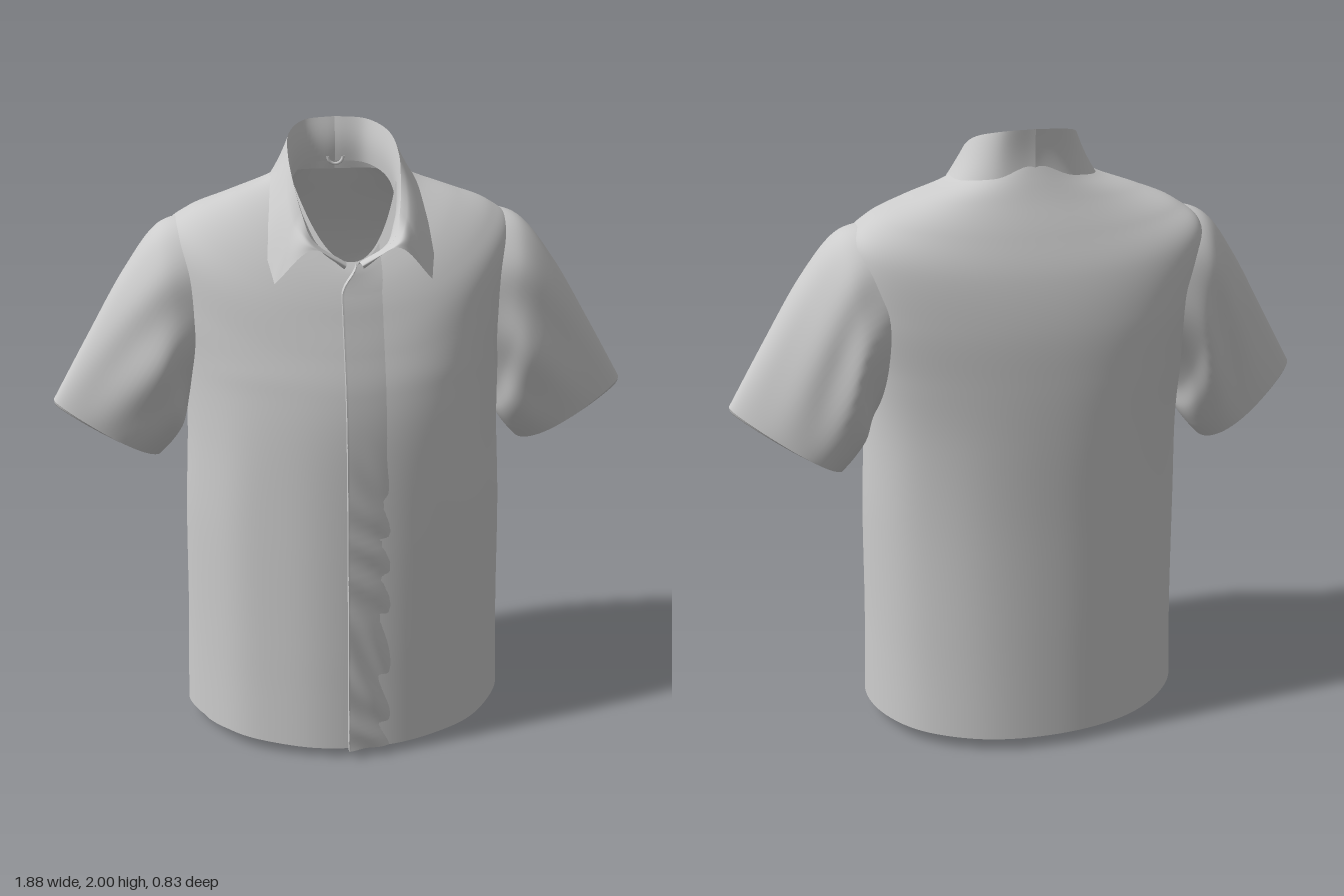
import * as THREE from 'three';

const cloth = new THREE.MeshStandardMaterial({ color: 0xcccccc, side: THREE.DoubleSide });
const V = (x, y, z) => new THREE.Vector3(x, y, z);
const spow = (v, e) => Math.sign(v) * Math.abs(v) ** e;
const smooth = THREE.MathUtils.smoothstep;

// Smooth interpolation through rows of numbers, t = 0..1
function keyed(rows, t) {
  const n = rows.length - 1, k = Math.min(Math.floor(t * n), n - 1), f = t * n - k;
  const at = i => rows[Math.max(0, Math.min(n, i))];
  return rows[k].map((_, c) => {
    const [a, b, d, e] = [at(k - 1)[c], at(k)[c], at(k + 1)[c], at(k + 2)[c]];
    return b + 0.5 * f * (d - a + f * (2 * a - 5 * b + 4 * d - e + f * (3 * (b - d) + e - a)));
  });
}

// Surface from fn(u, v); closed surfaces wrap around in u
function sheet(name, nu, nv, fn, closed = false) {
  const pos = [], idx = [], cols = closed ? nu : nu + 1;
  for (let j = 0; j <= nv; j++)
    for (let i = 0; i < cols; i++) pos.push(...fn(i / nu, j / nv).toArray());
  for (let j = 0; j < nv; j++)
    for (let i = 0; i < nu; i++) {
      const a = j * cols + i, b = j * cols + (i + 1) % cols;
      idx.push(a, b, b + cols, a, b + cols, a + cols);
    }
  const g = new THREE.BufferGeometry();
  g.setAttribute('position', new THREE.Float32BufferAttribute(pos, 3));
  g.setIndex(idx);
  g.computeVertexNormals();
  const mesh = new THREE.Mesh(g, cloth);
  mesh.name = name;
  return mesh;
}

// Torso rings: y front, y side, y back, half width, z front, z back, z side, roundness front, back
const torso = [
  [0.03, 0.05, 0.04, 0.54, 0.39, -0.42, 0, 1.25, 0.95],
  [0.22, 0.22, 0.22, 0.535, 0.385, -0.415, 0, 1.25, 0.95],
  [0.4, 0.4, 0.4, 0.53, 0.38, -0.41, 0, 1.22, 0.92],
  [0.75, 0.75, 0.75, 0.525, 0.367, -0.4, 0, 1.18, 0.85],
  [1.05, 1.05, 1.05, 0.512, 0.35, -0.395, -0.01, 1.1, 0.7],
  [1.22, 1.27, 1.25, 0.518, 0.325, -0.388, -0.03, 1.03, 0.55],
  [1.34, 1.47, 1.42, 0.545, 0.29, -0.375, -0.06, 0.98, 0.48],
  [1.43, 1.66, 1.57, 0.56, 0.26, -0.345, -0.09, 0.95, 0.52],
  [1.49, 1.737, 1.69, 0.49, 0.24, -0.3, -0.08, 0.93, 0.65],
  [1.54, 1.787, 1.79, 0.37, 0.22, -0.255, -0.06, 0.95, 0.8],
  [1.58, 1.83, 1.85, 0.25, 0.2, -0.23, -0.05, 1.1, 0.9],
  [1.61, 1.87, 1.89, 0.175, 0.18, -0.214, -0.04, 1.35, 0.9],
];

// Point on the torso; angle 0 is the front centre
function torsoPoint(a, t) {
  const [yF, yS, yB, w, zF, zB, zS, eF, eB] = keyed(torso, t);
  const c = Math.cos(a), s = Math.sin(a), front = c > 0;
  const y = yS + ((front ? yF : yB) - yS) * c * c;
  const sag = 1 - smooth(y, 0.8, 1.35);
  // soft vertical drapes, hollow beside the middle at the front
  const drape = sag * s * s * (front ? 0.06 * Math.cos(8 * a + 0.4 * y) * c
    : 0.012 * Math.sin(9 * a + 1.2 * y));
  // slight fold across the chest
  const chest = front ? 0.015 * Math.exp(-(((y - 1.27) / 0.035) ** 2)) * s * s * c : 0;
  const k = 1 + drape + chest;
  const z = zS + ((front ? zF : zB) - zS) * Math.abs(c) ** (front ? eF : eB);
  return V(w * spow(s, 0.92), y, z * k);
}

// Button placket: overlapping strip with a raised edge, fading into the front
function placketPoint(u, v) {
  const t = v * 0.985, w = keyed(torso, t)[3];
  const shift = 0.05 * smooth(v, 0.78, 1);
  const edge = u < 0.08;
  const x = -0.04 + shift + (edge ? 0 : (u - 0.08) / 0.92) * (0.16 - 0.06 * smooth(v, 0.8, 1));
  const p = torsoPoint(Math.asin(spow(THREE.MathUtils.clamp(x / w, -0.95, 0.95), 1 / 0.92)), t);
  const ripple = 0.006 * Math.sin(40 * p.y + 1.5 * Math.sin(9 * p.y) + 8 * u) * Math.sin(Math.PI * u) * (1 - smooth(p.y, 0.7, 1.1));
  p.z += (edge && u === 0 ? -0.012 : 0.026 * (1 - u) - 0.006 * u) + ripple;
  return p;
}

// Sleeve rings: top x y, bottom x y, z front, z back, pinch towards the top
const sleeve = [
  [0.46, 1.722, 0.44, 1.2, 0.1, -0.29, 0],
  [0.585, 1.69, 0.5, 1.11, 0.12, -0.295, 0],
  [0.7, 1.55, 0.525, 1.03, 0.12, -0.265, 0.15],
  [0.82, 1.35, 0.56, 0.975, 0.09, -0.22, 0.28],
  [0.94, 1.14, 0.6, 0.93, 0.055, -0.18, 0.38],
];
// Cloth turned inside at the cuff
const cuffInside = [
  [0.94, 1.14, 0.6, 0.93, 0.055, -0.18, 0.38],
  [0.92, 1.14, 0.61, 0.945, 0.042, -0.167, 0.38],
  [0.8, 1.33, 0.575, 0.99, 0.07, -0.2, 0.28],
  [0.67, 1.53, 0.54, 1.06, 0.1, -0.24, 0.15],
];
function sleevePoint(rows, side, u, t, folds) {
  const [tx, ty, bx, by, zF, zB, pinch] = keyed(rows, t);
  const a = u * Math.PI * 2, c = Math.cos(a), s = Math.sin(a);
  // gathered folds near the armhole
  const k = 1 - pinch * c + folds * Math.sin(7 * a + 5 * t) * Math.sin(Math.PI * t) * s * s;
  return V(side * ((tx + bx) / 2 + c * (tx - bx) / 2), (ty + by) / 2 + c * (ty - by) / 2,
    (zF + zB) / 2 + 0.08 * pinch * c + spow(s, 0.9) * k * (zF - zB) / 2);
}

// Collar half: fold line at the top, leaf edge with a pointed tip
const foldLine = new THREE.CatmullRomCurve3([
  V(0, 2, -0.22), V(0.1, 1.993, -0.2), V(0.16, 1.965, -0.11), V(0.175, 1.91, 0),
  V(0.167, 1.835, 0.085), V(0.152, 1.76, 0.16), V(0.125, 1.69, 0.225), V(0.02, 1.615, 0.205)]);
const leafBack = new THREE.CatmullRomCurve3([
  V(0, 1.83, -0.222), V(0.13, 1.83, -0.208), V(0.225, 1.815, -0.145), V(0.262, 1.79, -0.03),
  V(0.272, 1.69, 0.1), V(0.245, 1.56, 0.225)]);
const leafFront = new THREE.CatmullRomCurve3([
  V(0.245, 1.56, 0.225), V(0.13, 1.67, 0.262), V(0.03, 1.6, 0.228)]);
function leafPoint(side, u, v) {
  const k = u * 7;
  const top = foldLine.getPoint(u);
  const low = k <= 5 ? leafBack.getPoint(k / 5) : leafFront.getPoint((k - 5) / 2);
  const p = top.clone().lerp(low, v);
  const out = V(top.x, 0, top.z + 0.02).normalize();
  // roll at the fold, slight hollow towards the neck seam at the back
  p.addScaledVector(out, 0.02 * Math.sin(Math.PI * Math.sqrt(v)) * smooth(u, 0.4, 0.75)
    - 0.006 * Math.sin(Math.PI * v) * (1 - smooth(u, 0.2, 0.6)));
  p.x *= side;
  return p;
}
function standPoint(side, u, v) {
  const p = foldLine.getPoint(u);
  const front = smooth(u, 0.5, 0.85);
  const k = 1 - 0.04 * Math.sin(Math.PI * v) - v * (0.06 + 0.09 * front);
  return V(side * p.x * k, p.y - v * (0.14 - 0.11 * front), p.z * k);
}

// Inner hem band: flares up to meet the inside of the torso
const lining = [
  [0, 0.5, 0.3, -0.3], [0.06, 0.5, 0.305, -0.31], [0.14, 0.512, 0.335, -0.36], [0.24, 0.528, 0.365, -0.405],
];
function liningPoint(u, v) {
  const [y, w, zF, zB] = keyed(lining, v), a = u * Math.PI * 2, c = Math.cos(a);
  return V(w * spow(Math.sin(a), 0.92), y, (c > 0 ? zF : -zB) * spow(c, 1.15));
}

export function createModel() {
  const shirt = new THREE.Group();
  shirt.name = 'shirt';
  shirt.add(sheet('torso', 144, 110, (u, v) => torsoPoint(u * Math.PI * 2, v), true));
  shirt.add(sheet('placket', 25, 140, placketPoint));
  shirt.add(sheet('innerHem', 96, 12, liningPoint, true));

  for (const [side, word] of [[1, 'left'], [-1, 'right']]) {
    shirt.add(sheet(word + 'Sleeve', 72, 40, (u, v) => sleevePoint(sleeve, side, u, v, 0.05), true));
    shirt.add(sheet(word + 'CuffInside', 72, 16, (u, v) => sleevePoint(cuffInside, side, u, v, 0), true));
    shirt.add(sheet(word + 'CollarLeaf', 70, 12, (u, v) => leafPoint(side, u, v)));
    shirt.add(sheet(word + 'CollarStand', 56, 8, (u, v) => standPoint(side, u, v)));
  }

  // Small hanging loop inside the back of the neck
  const loop = new THREE.Mesh(new THREE.TorusGeometry(0.025, 0.005, 8, 20, Math.PI), cloth);
  loop.name = 'hangingLoop';
  loop.rotation.x = Math.PI;
  loop.position.set(0, 1.875, -0.194);
  shirt.add(loop);
  return shirt;
}
